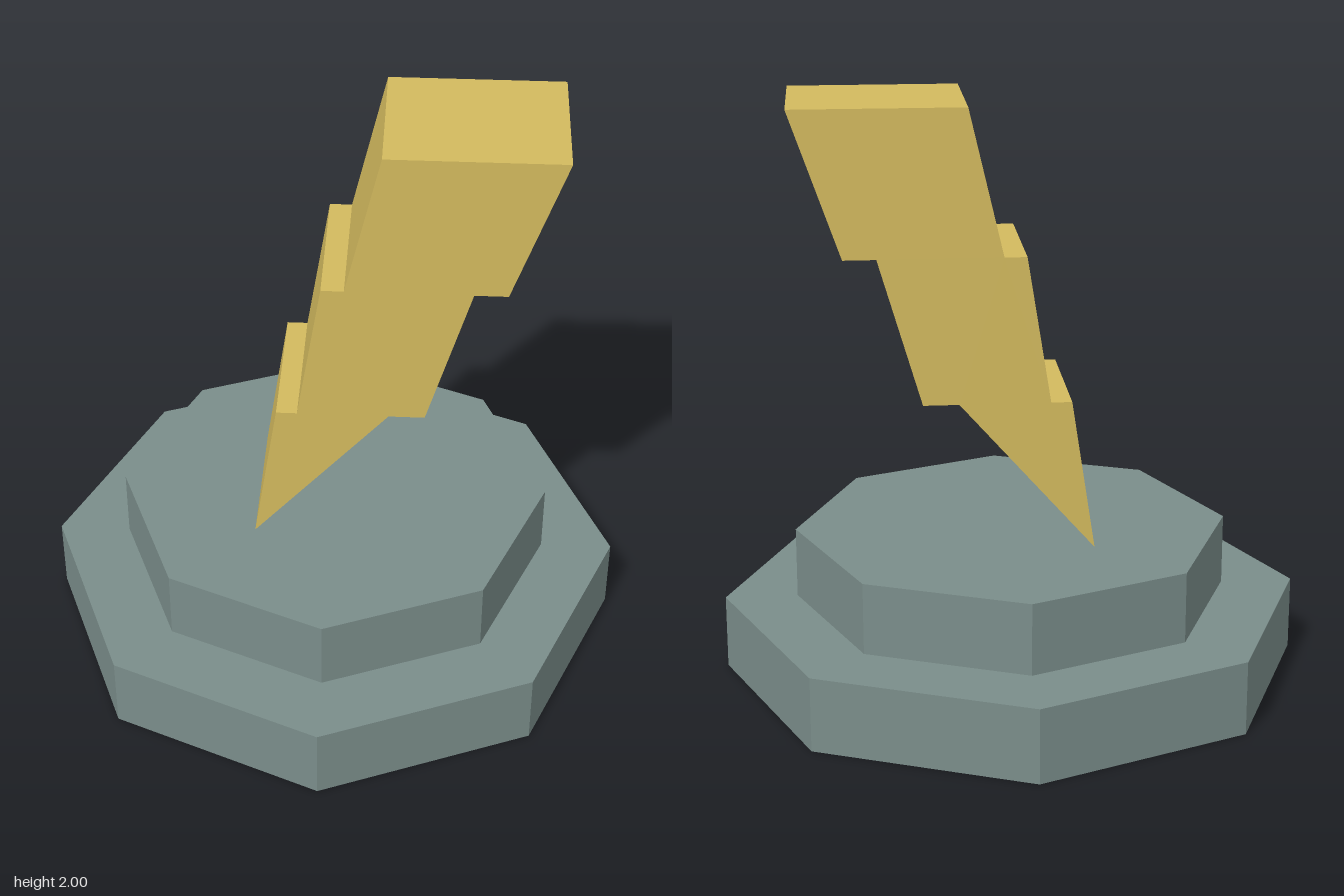
import * as THREE from 'three';

export function createModel() {
  const model = new THREE.Group();
  const stone = new THREE.MeshStandardMaterial({ color: 0x7a8d8a });
  stone.name = 'slate grey';
  const gold = new THREE.MeshStandardMaterial({ color: 0xd3ba5e });
  gold.name = 'gold';

  const add = (name, geometry, material) => {
    const flat = geometry.index ? geometry.toNonIndexed() : geometry;
    flat.computeVertexNormals(); // crisp facets
    const mesh = new THREE.Mesh(flat, material);
    mesh.name = name;
    model.add(mesh);
    return mesh;
  };

  // Two stacked octagonal plinth steps, corners on the axes
  const step = (name, radius, bottom, top) => {
    add(name, new THREE.CylinderGeometry(radius, radius, top - bottom, 8), stone)
      .position.y = (bottom + top) / 2;
  };
  step('lowerBase', 1, 0, 0.255);
  step('upperBase', 0.75, 0.255, 0.5);

  // Lightning bolt outline, anticlockwise from the tip
  const outline = [
    [-0.26, 0.5], [0.195, 1.015], [0.315, 1.015], [0.46, 1.51], [0.57, 1.51], [0.74, 2],
    [0.16, 2], [0.045, 1.51], [-0.03, 1.51], [-0.11, 1.015], [-0.18, 1.015],
  ].map(([x, y]) => new THREE.Vector2(x, y));
  const depth = 0.525;
  const bolt = new THREE.ExtrudeGeometry(new THREE.Shape(outline), { depth, bevelEnabled: false });
  bolt.translate(0, 0, -depth / 2);
  add('lightningBolt', bolt, gold);

  return model;
}
